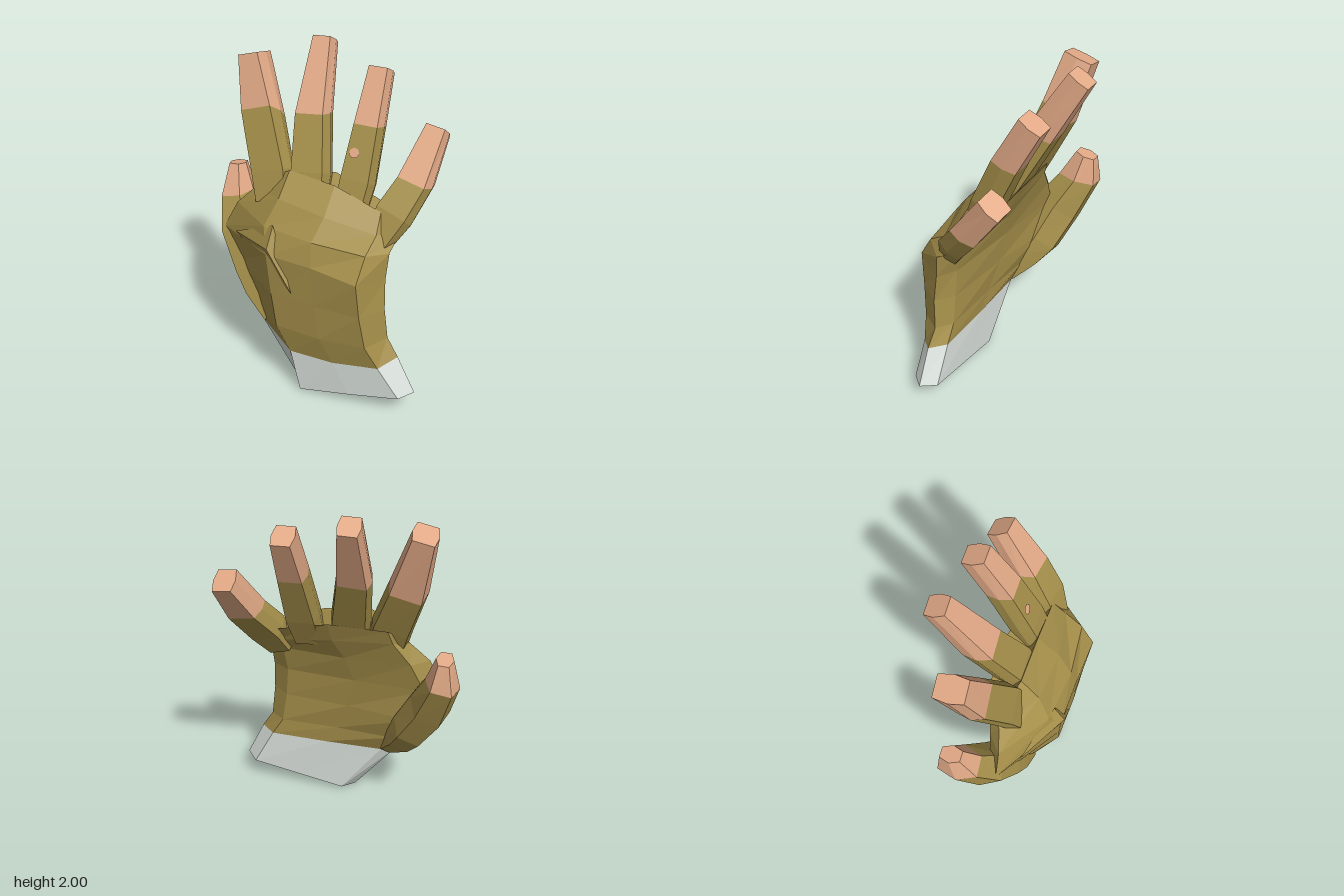
import * as THREE from 'three';
import { ConvexGeometry } from 'three/addons/geometries/ConvexGeometry.js';

const V = (x, y, z) => new THREE.Vector3(x, y, z);

// Faceted skin over a stack of equal-sized rings, with optional end caps
function loft(rings, capped = true) {
  const pos = [];
  const tri = (...pts) => pts.forEach((p) => pos.push(p.x, p.y, p.z));
  const n = rings[0].length;
  for (let i = 0; i < rings.length - 1; i++) {
    for (let j = 0; j < n; j++) {
      const k = (j + 1) % n;
      tri(rings[i][j], rings[i][k], rings[i + 1][k]);
      tri(rings[i][j], rings[i + 1][k], rings[i + 1][j]);
    }
  }
  const first = rings[0], last = rings[rings.length - 1];
  for (let j = 1; capped && j < n - 1; j++) {
    tri(last[0], last[j], last[j + 1]);
    tri(first[0], first[j + 1], first[j]);
  }
  const geo = new THREE.BufferGeometry();
  geo.setAttribute('position', new THREE.Float32BufferAttribute(pos, 3));
  geo.computeVertexNormals();
  return geo;
}

// Hand cross-section: left and right points, front and back depths,
// position of the front left corner, and the arch of front and back
function handRing([lx, ly, lz, rx, ry, rz, fL, fM, fR, bL, bM, bR, tL, archF, archB]) {
  const at = (t, z, lift) => V(lx + (rx - lx) * t, ly + (ry - ly) * t + lift, z);
  return [
    V(lx, ly, lz),
    at(tL, fL, archF), at((tL + 0.9) / 2, fM, archF), at(0.9, fR, archF * 0.6),
    V(rx, ry, rz),
    at(0.9, bR, archB * 0.6), at(0.5, bM, archB), at(0.1, bL, archB * 0.6),
  ];
}

// Bevelled finger cross-sections square to the path;
// stops are [x, y, z, halfWidth, halfDepth, rise of the back edge]
function fingerRings(stops, bevel) {
  const c = stops.map((s) => V(s[0], s[1], s[2]));
  return stops.map(([, , , w, d, rise = 0], i) => {
    const dir = c[Math.min(i + 1, c.length - 1)].clone().sub(c[Math.max(i - 1, 0)]).normalize();
    const side = V(1, 0, 0).addScaledVector(dir, -dir.x).normalize();
    const out = side.clone().cross(dir);
    return [[-1, 0], [-bevel, 1], [bevel, 1], [1, 0], [bevel, -1], [-bevel, -1]].map(([u, v]) =>
      c[i].clone().addScaledVector(side, u * w).addScaledVector(out, v * d).addScaledVector(dir, -v * rise));
  });
}

export function createModel() {
  const group = new THREE.Group();
  const material = (name, color) => {
    const m = new THREE.MeshStandardMaterial({ color });
    m.name = name;
    return m;
  };
  const olive = material('olive glove', 0xa58f4a);
  const skin = material('skin', 0xe3aa87);
  const grey = material('pale cuff', 0xdce3de);
  grey.side = THREE.DoubleSide;
  const add = (name, geo, mat) => {
    const mesh = new THREE.Mesh(geo, mat);
    mesh.name = name;
    group.add(mesh);
    return mesh;
  };

  // Cuff and palm share the ring at the wrist; the cuff is open below
  const hand = [
    [-0.03, 0, 0.24, 0.69, 0.14, 0.24, 0.33, 0.33, 0.32, 0.16, 0.16, 0.16, 0.05, 0, 0],
    [-0.3, 0.35, 0.19, 0.58, 0.36, 0.24, 0.33, 0.34, 0.33, 0.15, 0.15, 0.16, 0.28, -0.08, 0],
    [-0.38, 0.48, 0.15, 0.51, 0.47, 0.23, 0.35, 0.37, 0.36, 0.1, 0.14, 0.16, 0.28, -0.03, 0],
    [-0.51, 0.66, 0.1, 0.49, 0.66, 0.24, 0.35, 0.37, 0.38, 0.03, 0.11, 0.16, 0.35, 0, 0],
    [-0.59, 0.88, 0.09, 0.48, 0.84, 0.22, 0.355, 0.37, 0.395, 0.02, 0.08, 0.15, 0.38, 0.05, 0],
    [-0.5, 1.05, 0.08, 0.49, 1.0, 0.2, 0.29, 0.33, 0.31, 0, 0.04, 0.12, 0.28, 0.02, 0],
    [-0.39, 1.16, 0.05, 0.5, 1.04, 0.14, 0.21, 0.24, 0.2, -0.03, -0.02, 0.06, 0.25, 0.07, 0.06],
    [-0.36, 1.2, 0.02, 0.49, 1.09, 0.08, 0.1, 0.11, 0.12, -0.06, -0.07, 0, 0.25, 0.16, 0.14],
  ].map(handRing);
  add('cuff', loft(hand.slice(0, 2), false), grey);
  add('palm', loft(hand.slice(1)), olive);

  // Crease of cloth at the base of the thumb
  add('palmFold', new ConvexGeometry([
    V(-0.46, 0.92, 0.19), V(-0.17, 0.96, 0.37), V(-0.16, 1.08, 0.3),
    V(-0.02, 0.71, 0.375), V(-0.15, 0.9, 0.3),
  ]), olive);

  // Each finger is gloved up to its second last stop and bare beyond it
  const fingers = {
    index: [[-0.25, 1.12, 0.09, 0.11, 0.065], [-0.285, 1.28, 0.035, 0.12, 0.08],
      [-0.39, 1.57, -0.07, 0.11, 0.09, -0.035], [-0.475, 1.89, -0.15, 0.072, 0.085]],
    middle: [[-0.03, 1.12, 0.1, 0.1, 0.065], [-0.05, 1.3, 0.02, 0.115, 0.08],
      [-0.1, 1.6, -0.13, 0.1, 0.08, 0.02], [-0.12, 1.965, -0.335, 0.063, 0.065]],
    ring: [[0.21, 1.12, 0.09, 0.09, 0.065], [0.228, 1.3, 0.01, 0.1, 0.075],
      [0.24, 1.59, -0.12, 0.083, 0.075, 0.015], [0.245, 1.86, -0.265, 0.065, 0.07]],
    little: [[0.4, 1.02, 0.14, 0.08, 0.06], [0.46, 1.16, 0.06, 0.11, 0.075],
      [0.535, 1.325, -0.07, 0.1, 0.075, 0.03], [0.59, 1.57, -0.245, 0.068, 0.07]],
    thumb: [[-0.24, 0.37, 0.19, 0.05, 0.05], [-0.34, 0.5, 0.12, 0.1, 0.1],
      [-0.41, 0.62, 0.06, 0.115, 0.13], [-0.525, 0.82, -0.015, 0.125, 0.135],
      [-0.6, 1.02, -0.115, 0.1, 0.11, 0.03], [-0.61, 1.19, -0.15, 0.05, 0.06]],
  };
  for (const [name, stops] of Object.entries(fingers)) {
    const rings = fingerRings(stops, name === 'thumb' ? 0.6 : 0.82);
    add(name + 'Sleeve', loft(rings.slice(0, -1)), olive);
    add(name + 'Tip', loft(rings.slice(-2)), skin);
  }

  // Small worn hole on the ring finger
  const hole = add('wornHole', new THREE.CircleGeometry(0.03, 7), skin);
  hole.position.set(0.205, 1.47, 0.024);
  hole.rotation.x = -0.45;

  return group;
}
